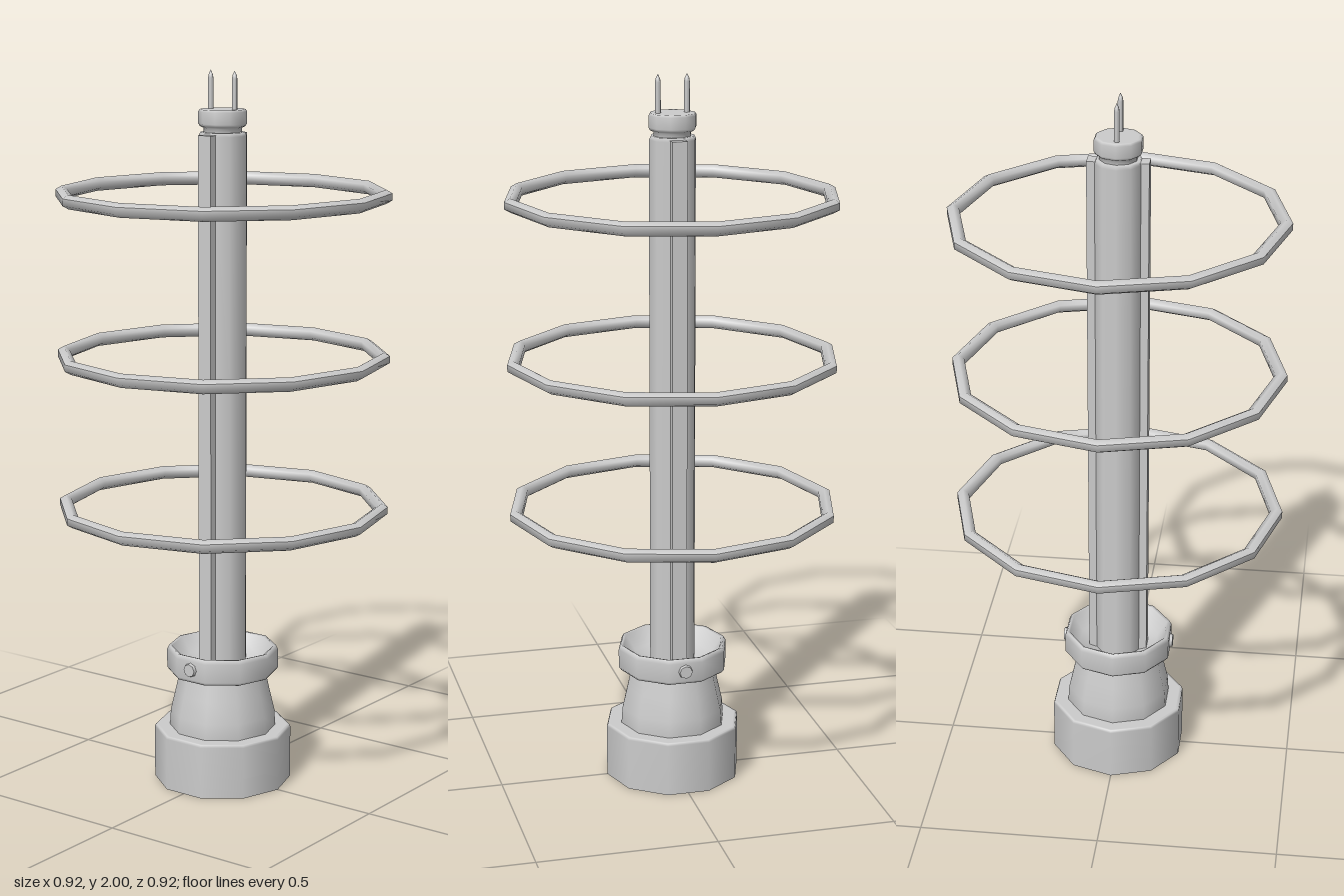
import * as THREE from 'three';

const material = new THREE.MeshStandardMaterial({ color: 0xcccccc, side: THREE.DoubleSide });

export function createModel() {
  const model = new THREE.Group();

  function add(name, geometry, x = 0, y = 0, z = 0) {
    const mesh = new THREE.Mesh(geometry, material);
    mesh.name = name;
    mesh.position.set(x, y, z);
    model.add(mesh);
    return mesh;
  }

  // Turned part from [radius, height] pairs, with a corner on the x axis
  function lathe(name, profile, sides = 10) {
    const points = profile.map(([r, y]) => new THREE.Vector2(r, y));
    return add(name, new THREE.LatheGeometry(points, sides, Math.PI / 2));
  }

  // Base cup, open underneath
  lathe('baseCup', [[0.193, 0], [0.193, 0.148], [0.19, 0.155], [0.183, 0.155], [0.14, 0.155]]);

  // Neck with a closed underside inside the cup
  lathe('neck', [[0, 0.1], [0.135, 0.1], [0.146, 0.106], [0.15, 0.155], [0.147, 0.2], [0.133, 0.26], [0.12, 0.32]]);

  // Collar with a dished top
  lathe('collar', [[0.115, 0.316], [0.15, 0.316], [0.157, 0.325], [0.157, 0.378],
    [0.151, 0.39], [0.143, 0.388], [0.115, 0.345], [0.05, 0.325]]);

  // Shaft
  lathe('shaft', [[0.065, 0.32], [0.065, 1.825], [0.06, 1.835], [0, 1.835]]);

  // Rails and collar screws, front and back
  for (const side of [1, -1]) {
    add('shaftRail', new THREE.BoxGeometry(0.042, 1.5, 0.03), 0, 1.08, side * 0.068);
    const screw = add('collarScrew', new THREE.CylinderGeometry(0.018, 0.023, 0.02, 8), 0, 0.354, side * 0.148);
    screw.rotation.x = side * Math.PI / 2;
  }

  // Top cap
  lathe('topCap', [[0.052, 1.83], [0.052, 1.846], [0.062, 1.851], [0.066, 1.858],
    [0.066, 1.89], [0.062, 1.896], [0.055, 1.896], [0, 1.896]]);

  // Pointed contact pins
  for (const x of [-0.04, 0.04]) {
    const pin = lathe('contactPin', [[0.008, 1.89], [0.008, 1.978], [0.006, 1.988], [0, 2]], 6);
    pin.position.x = x;
  }

  // Twelve-sided hoops with a hexagonal section
  const section = [];
  for (let i = 0; i <= 6; i++) {
    const a = (i + 0.5) * Math.PI / 3;
    section.push([0.444 + 0.019 * Math.cos(a), 0.019 * Math.sin(a)]);
  }
  for (const y of [0.795, 1.22, 1.665]) lathe('hoop', section, 12).position.y = y;

  return model;
}
